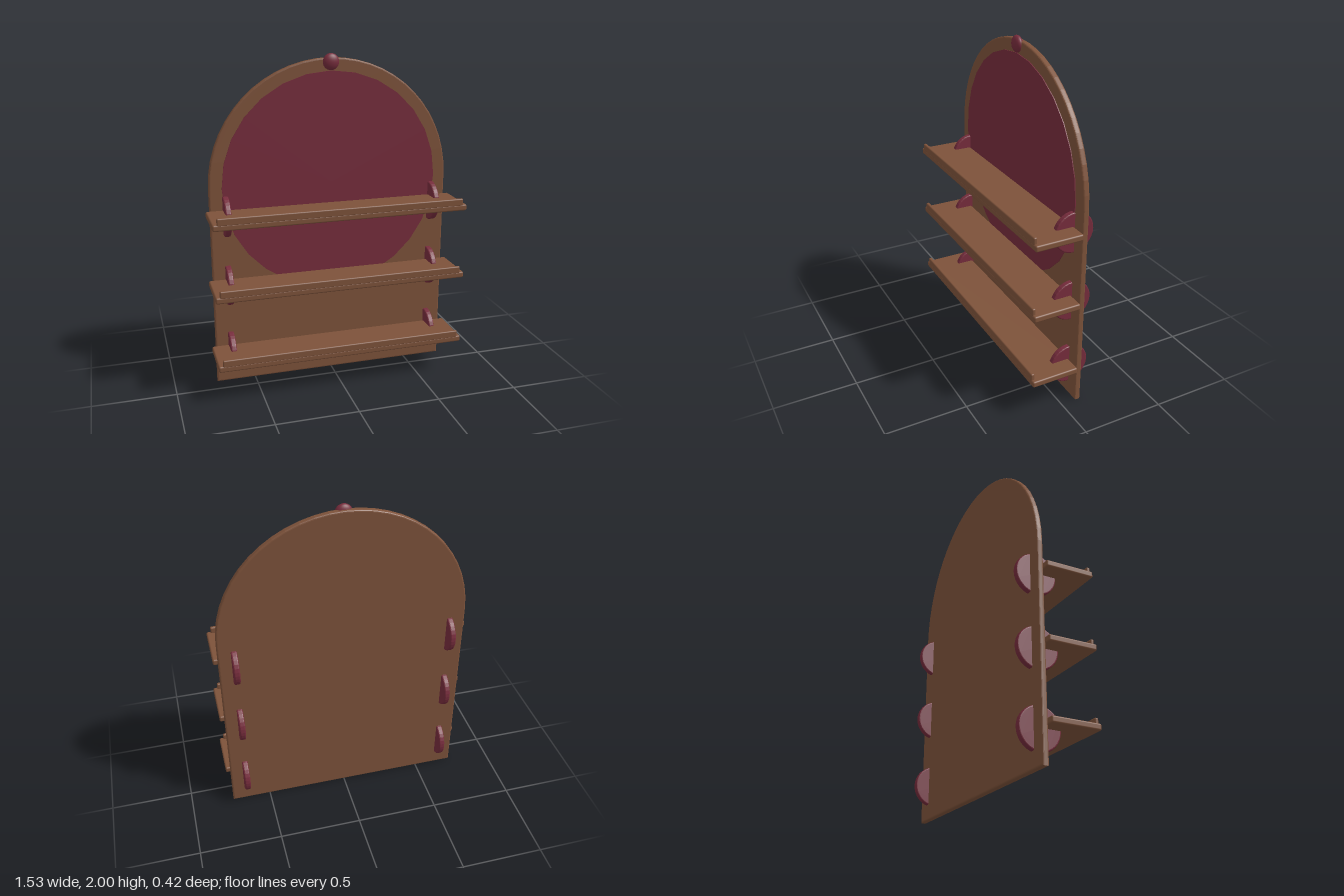
import * as THREE from 'three';
import { RoundedBoxGeometry } from 'three/addons/geometries/RoundedBoxGeometry.js';

const wood = new THREE.MeshStandardMaterial({ color: 0x7d523a });
wood.name = 'brown wood';
const burgundy = new THREE.MeshStandardMaterial({ color: 0x762c3c });
burgundy.name = 'burgundy';

function addMesh(parent, name, geometry, material, x, y, z) {
  const mesh = new THREE.Mesh(geometry, material);
  mesh.name = name;
  mesh.position.set(x, y, z);
  parent.add(mesh);
  return mesh;
}

// Extrusion with softened edges, centred on z = 0; bevel stays inside the outline depth
function bevelled(shape, depth, bevel, curveSegments) {
  return new THREE.ExtrudeGeometry(shape, {
    depth: depth - 2 * bevel, bevelThickness: bevel, bevelSize: bevel,
    bevelOffset: -bevel, bevelSegments: 3, curveSegments,
  }).translate(0, 0, -depth / 2 + bevel);
}

export function createModel() {
  const model = new THREE.Group();
  model.name = 'archedWallShelf';

  // Arched back board
  const archRadius = 0.739, archY = 1.236;
  const arch = new THREE.Shape();
  arch.moveTo(-archRadius, 0);
  arch.lineTo(archRadius, 0);
  arch.lineTo(archRadius, archY);
  arch.absarc(0, archY, archRadius, 0, Math.PI, false);
  arch.closePath();
  addMesh(model, 'backBoard', bevelled(arch, 0.038, 0.01, 14), wood, 0, 0, -0.107);

  // Round inlay just proud of the board's front
  const inlay = new THREE.CylinderGeometry(0.663, 0.663, 0.03, 28).rotateX(Math.PI / 2);
  addMesh(model, 'roundInlay', inlay, burgundy, 0, 1.238, -0.098);

  // Flattened ball at the crown
  const finial = addMesh(model, 'crownBall', new THREE.SphereGeometry(0.049, 20, 14), burgundy, 0, 1.951, -0.088);
  finial.scale.z = 0.56;

  // Three shelves, each with a front lip and a pair of disc brackets
  const shelfGeometry = new RoundedBoxGeometry(1.53, 0.038, 0.29, 3, 0.01);
  const lipGeometry = new RoundedBoxGeometry(1.48, 0.046, 0.022, 3, 0.008);
  const disc = new THREE.Shape().absarc(0, 0, 0.122, 0, Math.PI * 2, false);
  const bracketGeometry = bevelled(disc, 0.035, 0.008, 16).rotateY(Math.PI / 2);
  ['lower', 'middle', 'upper'].forEach((level, i) => {
    const tier = new THREE.Group();
    tier.name = level + 'Shelf';
    tier.position.y = 0.23 + i * 0.432;
    model.add(tier);
    addMesh(tier, 'shelfBoard', shelfGeometry, wood, 0, 0, 0.062);
    addMesh(tier, 'frontLip', lipGeometry, wood, 0, 0.033, 0.196);
    for (const side of [-1, 1]) {
      addMesh(tier, side > 0 ? 'leftBracket' : 'rightBracket', bracketGeometry, burgundy, side * 0.645, -0.021, -0.089);
    }
  });
  return model;
}
